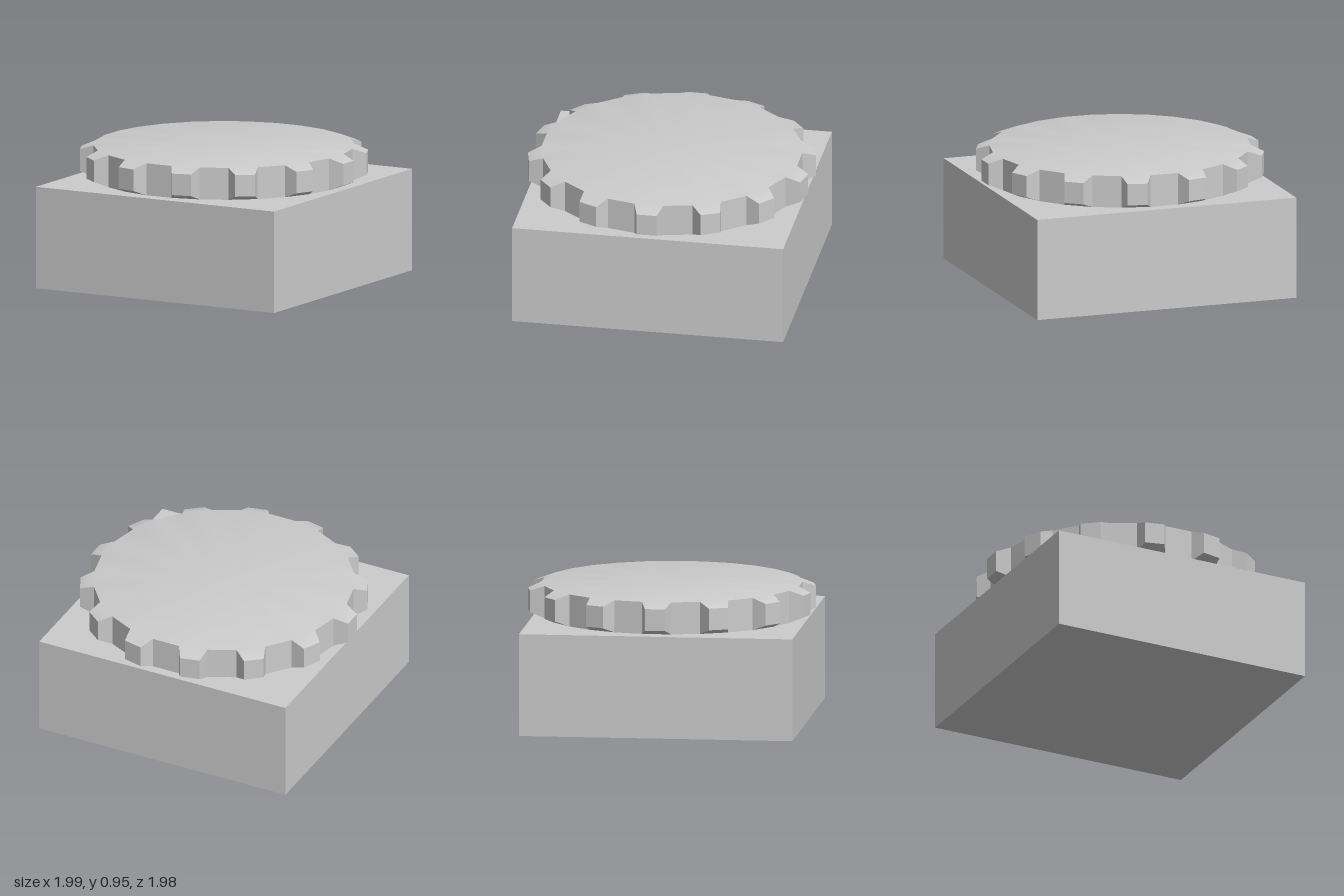
import * as THREE from 'three';
import { toCreasedNormals } from 'three/addons/utils/BufferGeometryUtils.js';

const TEETH = 14;
const BASE_HALF = 0.955, BASE_TOP = 0.715;
const ROOT = { x: 0.9, z: 0.102, bottom: 0.725, top: 0.95 }; // tooth foot
const TIP = { x: 0.997, z: 0.07, bottom: 0.763, top: 0.915 }; // tapered tooth end

// Corner of tooth k: side is -1 or 1, level is 'bottom' or 'top'
function corner(k, ring, side, level) {
  const a = (k / TEETH) * Math.PI * 2, z = ring.z * side;
  return [
    ring.x * Math.cos(a) - z * Math.sin(a),
    ring[level],
    ring.x * Math.sin(a) + z * Math.cos(a),
  ];
}

function gearGeometry() {
  const pos = [];
  const tri = (a, b, c) => pos.push(...a, ...b, ...c);
  const quad = (a, b, c, d) => { tri(a, b, c); tri(a, c, d); };
  const topCentre = [0, ROOT.top, 0], bottomCentre = [0, ROOT.bottom, 0];

  for (let k = 0; k < TEETH; k++) {
    const c = (ring, side, level) => corner(k, ring, side, level);
    const rt0 = c(ROOT, -1, 'top'), rt1 = c(ROOT, 1, 'top');
    const rb0 = c(ROOT, -1, 'bottom'), rb1 = c(ROOT, 1, 'bottom');
    const tt0 = c(TIP, -1, 'top'), tt1 = c(TIP, 1, 'top');
    const tb0 = c(TIP, -1, 'bottom'), tb1 = c(TIP, 1, 'bottom');
    const nt = corner((k + 1) % TEETH, ROOT, -1, 'top');
    const nb = corner((k + 1) % TEETH, ROOT, -1, 'bottom');

    // Flat discs
    tri(topCentre, rt1, rt0);
    tri(topCentre, nt, rt1);
    tri(bottomCentre, rb0, rb1);
    tri(bottomCentre, rb1, nb);
    // Tooth: sloped top and bottom, end, two flanks
    quad(rt0, rt1, tt1, tt0);
    quad(rb0, tb0, tb1, rb1);
    quad(tb0, tt0, tt1, tb1);
    quad(rb0, rt0, tt0, tb0);
    quad(rb1, tb1, tt1, rt1);
    // Rim between this tooth and the next
    quad(rb1, rt1, nt, nb);
  }

  const geo = new THREE.BufferGeometry();
  geo.setAttribute('position', new THREE.Float32BufferAttribute(pos, 3));
  return toCreasedNormals(geo, Math.PI / 6);
}

export function createModel() {
  const group = new THREE.Group();
  const material = new THREE.MeshStandardMaterial({ color: 0xcccccc });

  // Square block underneath
  const base = new THREE.Mesh(
    new THREE.BoxGeometry(BASE_HALF * 2, BASE_TOP, BASE_HALF * 2), material);
  base.position.y = BASE_TOP / 2;
  base.name = 'base';

  // Toothed wheel hovering just above the block
  const gear = new THREE.Mesh(gearGeometry(), material);
  gear.name = 'gear';

  group.add(base, gear);
  return group;
}
